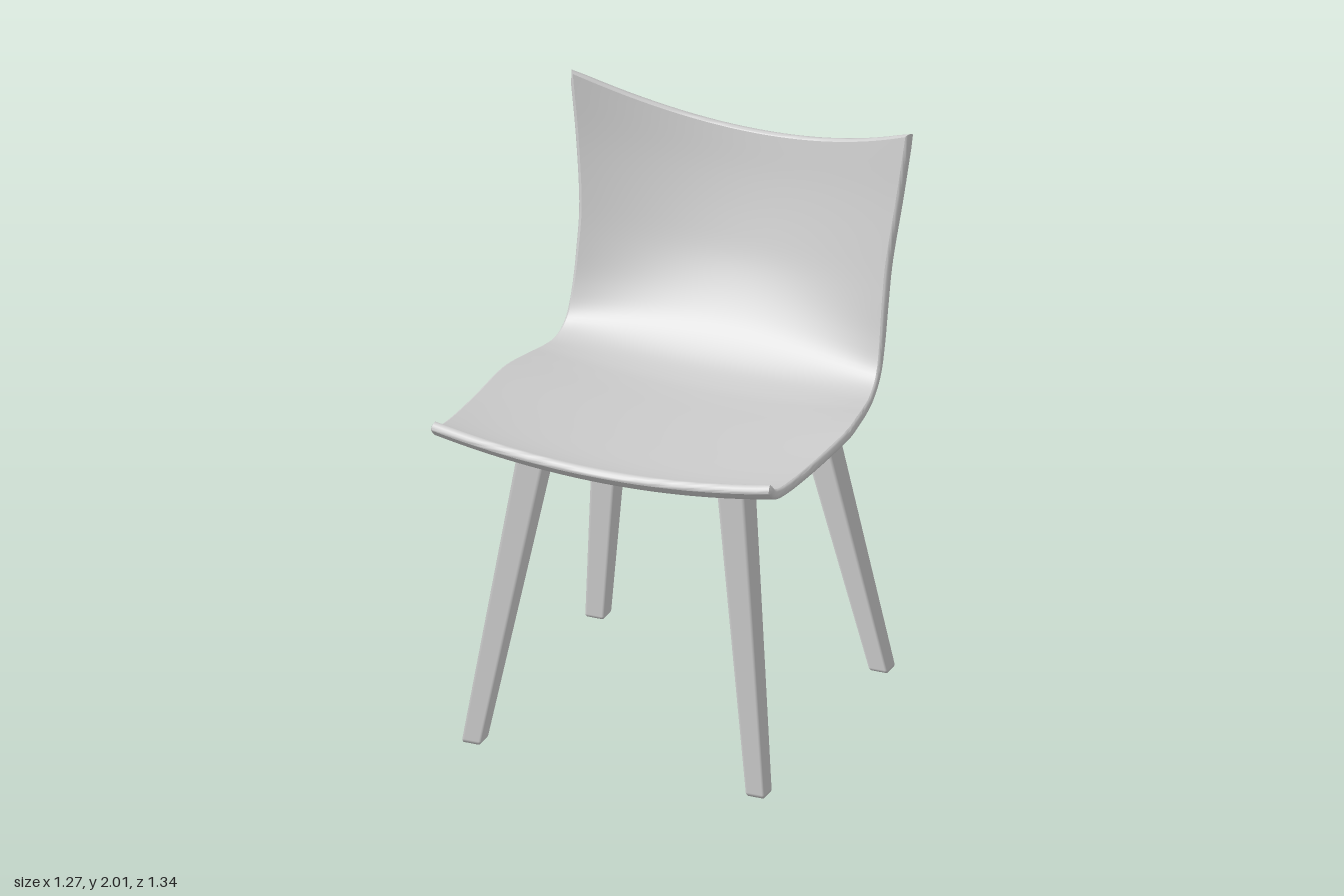
import * as THREE from 'three';
import { mergeVertices, toCreasedNormals } from 'three/addons/utils/BufferGeometryUtils.js';
import { RoundedBoxGeometry } from 'three/addons/geometries/RoundedBoxGeometry.js';

const THICK = 0.034, NX = 28, NV = 72;

// Rows of the shell from front lip to backrest top:
// centre z, centre y, edge z, edge y, half width
const ROWS = [
  [0.652, 1.163, 0.648, 1.22, 0.61],
  [0.61, 1.127, 0.608, 1.187, 0.612],
  [0.5, 1.107, 0.5, 1.168, 0.614],
  [0.3, 1.1, 0.3, 1.155, 0.618],
  [0.05, 1.095, 0.05, 1.15, 0.622],
  [-0.1, 1.093, -0.1, 1.138, 0.602],
  [-0.2, 1.1, -0.2, 1.127, 0.584],
  [-0.29, 1.13, -0.285, 1.13, 0.57],
  [-0.38, 1.2, -0.355, 1.175, 0.562],
  [-0.45, 1.29, -0.395, 1.27, 0.556],
  [-0.515, 1.41, -0.425, 1.4, 0.552],
  [-0.56, 1.54, -0.455, 1.55, 0.554],
  [-0.6, 1.69, -0.485, 1.77, 0.578],
  [-0.63, 1.84, -0.5, 2.0, 0.606],
];

// Upper face: parabolic cross-sections swept along the rows
function upperFace() {
  const curve = (f) => new THREE.CatmullRomCurve3(ROWS.map(f), false, 'catmullrom');
  const centre = curve(([z, y, , , w]) => new THREE.Vector3(w, y, z));
  const edge = curve(([, , z, y, w]) => new THREE.Vector3(w, y, z));
  const geo = new THREE.PlaneGeometry(2, 1, NX, NV);
  const pos = geo.attributes.position;
  for (let i = 0; i < pos.count; i++) {
    const u = pos.getX(i), t = THREE.MathUtils.clamp(pos.getY(i) + 0.5, 0, 1);
    const p = centre.getPoint(t).lerp(edge.getPoint(t), u * u);
    pos.setXYZ(i, u * p.x, p.y, p.z);
  }
  geo.computeVertexNormals();
  return geo;
}

// Lower face: the upper face pushed along its normals and turned over
function lowerFace(top) {
  const geo = top.clone(), pos = geo.attributes.position, n = top.attributes.normal;
  for (let i = 0; i < pos.count; i++) {
    pos.setXYZ(i, pos.getX(i) - n.getX(i) * THICK, pos.getY(i) - n.getY(i) * THICK,
      pos.getZ(i) - n.getZ(i) * THICK);
  }
  geo.setIndex([...geo.index.array].reverse());
  geo.computeVertexNormals();
  return geo;
}

// Softly rounded rim joining both faces all the way round
function rimFace(top) {
  const id = (x, v) => (NV - v) * (NX + 1) + x;
  const loop = [];
  for (let x = 0; x < NX; x++) loop.push(id(x, 0));
  for (let v = 0; v < NV; v++) loop.push(id(NX, v));
  for (let x = NX; x > 0; x--) loop.push(id(x, NV));
  for (let v = NV; v > 0; v--) loop.push(id(0, v));
  const at = (name, i) => new THREE.Vector3().fromBufferAttribute(top.attributes[name], i);
  const S = 6, L = loop.length, verts = [], index = [];
  for (let k = 0; k < L; k++) {
    const p = at('position', loop[k]), n = at('normal', loop[k]);
    const out = at('position', loop[(k + 1) % L])
      .sub(at('position', loop[(k + L - 1) % L])).cross(n).normalize();
    for (let s = 0; s <= S; s++) {
      const a = Math.PI * s / S;
      const q = p.clone().addScaledVector(n, (Math.cos(a) - 1) * THICK / 2)
        .addScaledVector(out, Math.sin(a) * 0.009);
      verts.push(q.x, q.y, q.z);
      if (s < S) {
        const c = k * (S + 1) + s, d = ((k + 1) % L) * (S + 1) + s;
        index.push(c + 1, d + 1, d, c + 1, d, c);
      }
    }
  }
  const geo = new THREE.BufferGeometry();
  geo.setAttribute('position', new THREE.Float32BufferAttribute(verts, 3));
  geo.setIndex(index);
  return toCreasedNormals(mergeVertices(geo), 0.8);
}

// Tapered, splayed leg with softened square section
function legGeometry(top, foot) {
  const h = top.y - foot.y;
  const geo = new RoundedBoxGeometry(0.106, h, 0.106, 3, 0.014);
  const pos = geo.attributes.position;
  for (let i = 0; i < pos.count; i++) {
    const t = pos.getY(i) / h + 0.5, s = THREE.MathUtils.lerp(0.66, 1, t);
    const c = foot.clone().lerp(top, t);
    pos.setXYZ(i, c.x + pos.getX(i) * s, c.y, c.z + pos.getZ(i) * s);
  }
  return geo;
}

export function createModel() {
  const grey = new THREE.MeshStandardMaterial({ color: 0xcccccc });
  grey.name = 'light grey';
  const chair = new THREE.Group();
  chair.name = 'chair';
  const add = (parent, name, geo) => {
    const mesh = new THREE.Mesh(geo, grey);
    mesh.name = name;
    parent.add(mesh);
    return mesh;
  };

  // One-piece seat and backrest
  const shell = new THREE.Group();
  shell.name = 'seatShell';
  chair.add(shell);
  const top = upperFace();
  add(shell, 'shellUpperFace', top);
  add(shell, 'shellLowerFace', lowerFace(top));
  add(shell, 'shellRim', rimFace(top));

  // Legs with square mounting plates
  for (const [end, topZ, footZ] of [['front', 0.358, 0.532], ['rear', -0.278, -0.51]]) {
    for (const [side, sx] of [['Left', 1], ['Right', -1]]) {
      add(chair, `${end}${side}Leg`, legGeometry(
        new THREE.Vector3(sx * 0.357, 1.08, topZ), new THREE.Vector3(sx * 0.518, 0, footZ)));
      add(chair, `${end}${side}Plate`, new RoundedBoxGeometry(0.15, 0.03, 0.15, 3, 0.01))
        .position.set(sx * 0.355, 1.075, topZ);
    }
  }
  return chair;
}
